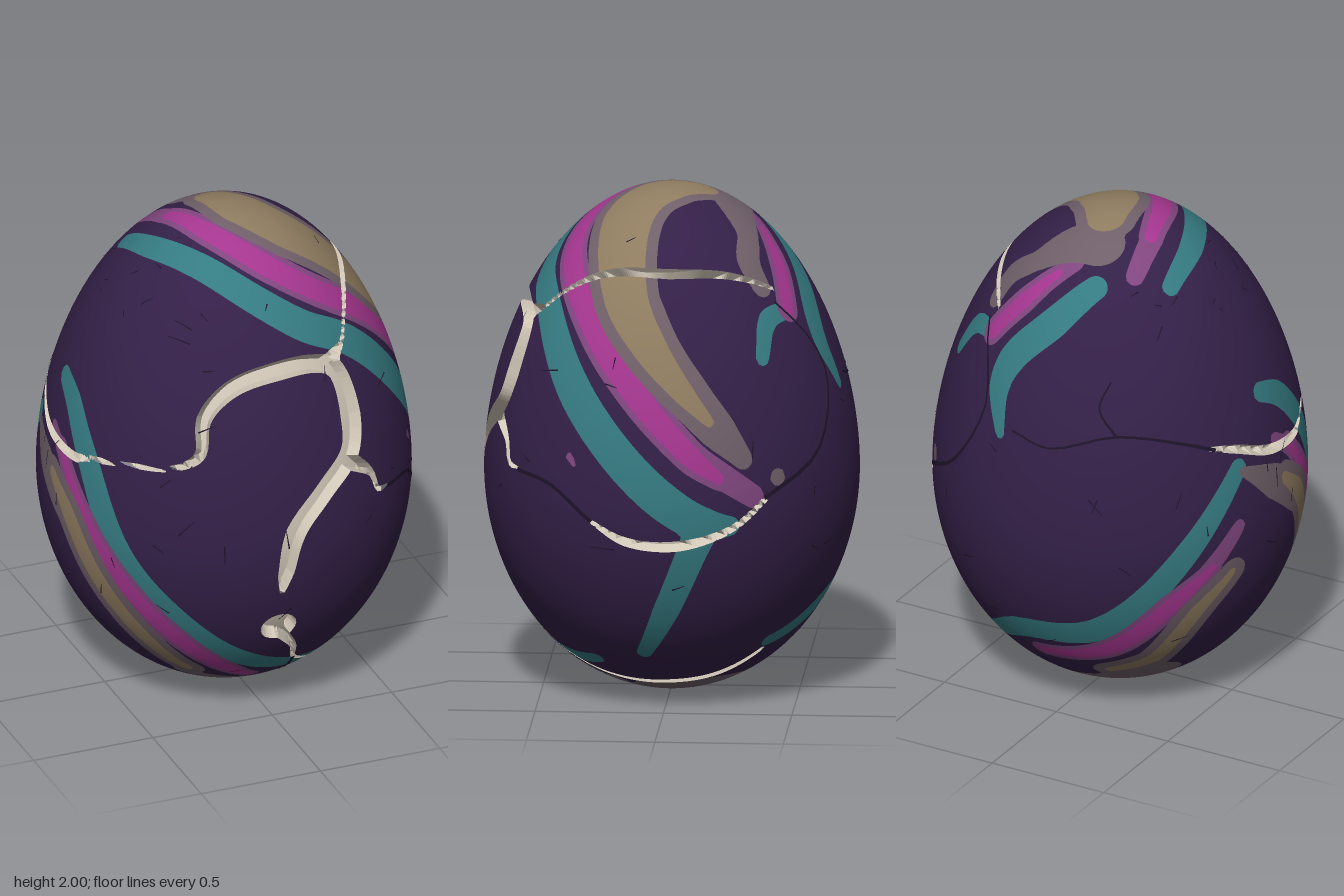
import * as THREE from 'three';

// Egg profile: radius at each height, widest at MID
const R = 0.73, MID = 0.88, UP = 1.12, DOWN = 0.88;
const half = (y) => (y > MID ? { H: UP, n: 1.85, s: 1 } : { H: DOWN, n: 2, s: -1 });
const radius = (y) => {
  const { H, n } = half(y);
  return R * Math.sqrt(Math.max(0, 1 - Math.min(1, Math.abs(y - MID) / H) ** n));
};
const normalAt = (p) => {
  const { H, n, s } = half(p.y);
  const t = Math.min(1, Math.abs(p.y - MID) / H);
  return new THREE.Vector3(p.x, (s * R * R * n * t ** (n - 1)) / (2 * H), p.z).normalize();
};
// Push a point onto the shell along the ray from the egg's middle
function project(p) {
  const { H, n } = half(p.y);
  const q = Math.hypot(p.x, p.z) / R, d = Math.abs(p.y - MID) / H;
  let lo = 0, hi = 4;
  for (let i = 0; i < 30; i++) {
    const s = (lo + hi) / 2;
    if ((q * s) ** 2 + (d * s) ** n > 1) hi = s; else lo = s;
  }
  return new THREE.Vector3(p.x * lo, MID + (p.y - MID) * lo, p.z * lo);
}

// Shell points [x, y, z, halfWidth] given from one side of the egg
const depth = (a, y) => Math.sqrt(Math.max(0, radius(y) ** 2 - a * a));
const F = (x, y, w) => [x, y, depth(x, y), w];
const B = (x, y, w) => [x, y, -depth(x, y), w];
const S = (z, y, w) => [depth(z, y), y, z, w];
const O = (z, y, w) => [-depth(z, y), y, z, w];
const cap = (x, z) => Math.max(0, 1 - (x * x + z * z) / (R * R));
const T = (x, z, w) => [x, MID + UP * cap(x, z) ** (1 / 1.85), z, w];
const U = (x, z, w) => [x, MID - DOWN * Math.sqrt(cap(x, z)), z, w];
const widen = (paths, by) => paths.map((t) => t.map(([x, y, z, w]) => [x, y, z, w + by]));

// Smooth path over the shell, sampled with its half widths
function trace(points, steps = 5) {
  if (points.length === 1) return [{ p: project(new THREE.Vector3(...points[0])), w: points[0][3] }];
  const curve = new THREE.CatmullRomCurve3(points.map((a) => new THREE.Vector3(a[0], a[1], a[2])), false, 'centripetal');
  const n = points.length - 1, out = [];
  for (let i = 0; i <= n * steps; i++) {
    const k = Math.min(n - 1, Math.floor(i / steps)), f = i / steps - k;
    out.push({ p: project(curve.getPoint(i / (n * steps))), w: points[k][3] * (1 - f) + points[k + 1][3] * f });
  }
  return out;
}
// Signed distance to the painted or carved area: negative inside
function area(paths) {
  const traces = paths.map((a) => trace(a));
  return (v) => {
    let best = 9;
    for (const t of traces) {
      for (let i = 0; i < Math.max(1, t.length - 1); i++) {
        const a = t[i], b = t[i + 1] || a;
        const dx = b.p.x - a.p.x, dy = b.p.y - a.p.y, dz = b.p.z - a.p.z;
        const ex = v.x - a.p.x, ey = v.y - a.p.y, ez = v.z - a.p.z;
        const f = Math.min(1, Math.max(0, (ex * dx + ey * dy + ez * dz) / (dx * dx + dy * dy + dz * dz + 1e-9)));
        const d = Math.hypot(ex - dx * f, ey - dy * f, ez - dz * f) - a.w - (b.w - a.w) * f;
        if (d < best) best = d;
      }
    }
    return best;
  };
}
// Cut triangles along the edge of an area
function split(tris, field) {
  const inside = [], outside = [];
  const fan = (poly, list) => {
    for (let i = 1; i + 1 < poly.length; i++) list.push([poly[0], poly[i], poly[i + 1]]);
  };
  const memo = new Map();
  const val = (p) => { if (!memo.has(p)) memo.set(p, field(p)); return memo.get(p); };
  for (const t of tris) {
    const f = t.map(val);
    if (f.every((d) => d < 0)) { inside.push(t); continue; }
    if (f.every((d) => d >= 0)) { outside.push(t); continue; }
    const a = [], b = [];
    for (let i = 0; i < 3; i++) {
      const j = (i + 1) % 3;
      (f[i] < 0 ? a : b).push(t[i]);
      if (f[i] < 0 !== f[j] < 0) {
        const m = t[i].clone().lerp(t[j], f[i] / (f[i] - f[j]));
        a.push(m); b.push(m);
      }
    }
    fan(a, inside); fan(b, outside);
  }
  return [inside, outside];
}

// Painted stripes
const teal = [
  [T(-.34, -.2, .035), T(-.31, .02, .05), T(-.19, .25, .055), T(-.035, .41, .06), T(.14, .48, .065), S(.46, 1.58, .065),
    S(.35, 1.31, .075), S(.17, 1.07, .075), S(-.02, .89, .075), S(-.17, .8, .07), S(-.27, .79, .04)],
  [S(-.17, .8, .07), S(-.12, .68, .06), S(-.02, .44, .052), S(.075, .24, .03)],
  [T(-.1, -.37, .05), T(.02, -.49, .065), T(.17, -.56, .065), B(.2, 1.42, .055), B(.16, 1.25, .022)],
  [T(.32, -.46, .035), S(-.4, 1.55, .042), S(-.385, 1.42, .03)],
  [O(-.04, 1.36, .04), O(.07, 1.31, .052), O(.17, 1.21, .056), O(.26, 1.09, .06), F(-.6, .78, .062), F(-.415, .52, .058),
    F(-.2, .33, .053), F(.01, .22, .05), F(.19, .175, .045), F(.36, .185, .03)],
  [F(-.35, .345, .018), F(-.26, .345, .022)],
  [O(-.24, 1.12, .04), O(-.46, .82, .055), B(-.24, .46, .065), B(.1, .39, .06), B(.33, .26, .035)],
];
const magenta = [
  [T(-.195, -.1, .025), T(-.11, .14, .042), T(.04, .31, .048), T(.24, .37, .048), S(.25, 1.5, .048), S(.06, 1.26, .048),
    S(-.13, 1.06, .04), S(-.23, .98, .022)],
  [T(.07, -.36, .018), T(.18, -.43, .036), T(.3, -.47, .034)],
  [O(.07, 1.11, .018), O(.24, .89, .038), F(-.56, .61, .04), F(-.385, .4, .04), F(-.18, .225, .03), F(-.05, .14, .012)],
  [O(-.36, .73, .018), O(-.47, .58, .04), B(-.25, .35, .04), B(.04, .28, .025)],
];
const mauveEnds = [
  [T(-.22, -.27, .035), T(-.2, -.1, .045)],
  [S(-.15, 1.05, .06), S(-.36, .9, .045)],
  [T(.01, -.32, .03), T(.12, -.4, .045)],
  [O(-.02, 1.16, .025), O(.1, 1.07, .04)],
  [O(-.26, .88, .03), O(-.4, .68, .045)],
  [S(.36, 1.05, .016), S(.34, 1.02, .012)],
];
const tan = [
  [T(0, -.11, .075), T(.07, .04, .115), T(.2, .15, .115), S(.15, 1.66, .088), S(.04, 1.47, .066), S(-.09, 1.31, .042), S(-.19, 1.2, .02)],
  [O(.02, .98, .025), O(.15, .86, .045), F(-.65, .64, .045), F(-.51, .41, .042), F(-.3, .2, .028)],
  [O(-.27, .68, .018), O(-.37, .52, .036), U(-.37, -.38, .036)],
  [U(-.2, -.42, .025), U(-.37, -.38, .036)],
  [U(.1, -.25, .02)],
];
const greyEnds = [
  [S(.13, 1.66, .105), S(.02, 1.47, .095), S(-.1, 1.31, .09), S(-.22, 1.17, .075), S(-.32, 1.05, .04)],
  [T(-.04, -.23, .1), T(.06, -.25, .09), T(.2, -.31, .05), T(.3, -.32, .055), S(-.37, 1.67, .045)],
  [S(-.45, .965, .035)],
  [O(-.22, 1.1, .02), O(-.06, 1.0, .07), O(.1, .88, .075)],
  [U(-.28, -.28, .14), U(-.1, -.2, .2), U(.08, -.08, .24), U(.2, 0, .14)],
  [U(-.28, .3, .05), U(-.1, .3, .06), U(.1, .28, .06), U(.18, .2, .06)],
];

// Carved cracks
const cracks = [
  [F(-.67, 1.13, .014), F(-.56, 1.17, .011), F(-.44, 1.19, .012), F(-.34, 1.25, .022), F(-.31, 1.39, .03), F(-.2, 1.5, .035),
    F(0, 1.55, .038), F(.165, 1.54, .036), F(.245, 1.5, .042), F(.29, 1.31, .055), F(.27, 1.18, .05), F(.14, 1.06, .045),
    F(.01, .915, .045), F(-.03, .73, .033), F(-.04, .645, .01)],
  [F(-.03, .465, .073)],
  [F(0, .41, .025), F(.06, .33, .014), F(.09, .24, .01), F(.2, .16, .01), S(.33, .14, .013), S(0, .085, .022),
    S(-.2, .12, .022), S(-.37, .22, .014)],
  [F(.23, 1.53, .035), F(.3, 1.57, .012), S(.42, 1.62, .01), S(.25, 1.72, .017), S(-.02, 1.74, .022), S(-.26, 1.72, .016), S(-.42, 1.65, .009)],
  [F(.28, 1.13, .035), F(.37, 1.05, .015), F(.4, .97, .012), S(.57, .955, .009)],
  [S(.27, .8, .009), S(.14, .73, .019), S(-.07, .715, .022), S(-.28, .78, .015), S(-.41, .89, .012)],
  [F(-.67, 1.13, .014), O(.17, 1.11, .02), O(-.05, 1.13, .022), O(-.24, 1.2, .018), O(-.34, 1.23, .01)],
];
const hairlines = [
  [O(-.32, 1.22, .008), O(-.42, 1.27, .006), B(-.316, 1.32, .005), B(-.07, 1.25, .004), B(.1, 1.28, .004)],
  [S(.57, .955, .008), S(.43, .925, .007), S(.27, .8, .008)],
  [S(-.4, .89, .009), S(-.6, 1.05, .007), B(.25, 1.33, .005), T(.34, -.42, .005)],
  [B(-.316, 1.32, .005), B(-.24, 1.42, .004), B(-.26, 1.52, .003)],
  [F(.09, .24, .008), F(.1, .12, .006), F(.12, .06, .004)],
];

// Thin strip lying on the shell
function ribbon(points, pos, nor) {
  const t = trace(points, 4);
  const sides = t.map(({ p, w }, i) => {
    const n = normalAt(p);
    const d = t[Math.min(i + 1, t.length - 1)].p.clone().sub(t[Math.max(i - 1, 0)].p);
    const s = d.cross(n).normalize().multiplyScalar(w);
    return [1, -1].map((k) => project(p.clone().addScaledVector(s, k)).addScaledVector(n, 0.003));
  });
  for (let i = 0; i + 1 < sides.length; i++) {
    const [a, b] = sides[i], [c, d] = sides[i + 1];
    for (const v of [a, c, b, b, c, d]) { pos.push(v.x, v.y, v.z); nor.push(...normalAt(v)); }
  }
}

function geometry(pos, nor) {
  const g = new THREE.BufferGeometry();
  g.setAttribute('position', new THREE.Float32BufferAttribute(pos, 3));
  if (nor) g.setAttribute('normal', new THREE.Float32BufferAttribute(nor, 3));
  else g.computeVertexNormals();
  return g;
}
const paint = (name, color, side = THREE.FrontSide) => {
  const m = new THREE.MeshStandardMaterial({ color, side });
  m.name = name;
  return m;
};

export function createModel() {
  const group = new THREE.Group();
  const add = (name, material, geo) => {
    const mesh = new THREE.Mesh(geo, material);
    mesh.name = name;
    group.add(mesh);
  };
  // Shell triangles
  const NA = 280, NB = 130, grid = [];
  for (let j = 0; j <= NB; j++) {
    const c = Math.cos((Math.PI * j) / NB), y = MID + c * (c > 0 ? UP : DOWN), r = radius(y);
    grid.push(Array.from({ length: NA }, (_, i) => {
      const a = (2 * Math.PI * i) / NA;
      return new THREE.Vector3(r * Math.sin(a), y, r * Math.cos(a));
    }));
  }
  let rest = [];
  for (let j = 0; j < NB; j++) for (let i = 0; i < NA; i++) {
    const k = (i + 1) % NA, a = grid[j][i], b = grid[j + 1][i], c = grid[j + 1][k], d = grid[j][k];
    if (j < NB - 1) rest.push([a, b, c]);
    if (j > 0) rest.push([a, c, d]);
  }
  // Cracks: steep faceted walls down to a smooth floor
  const crackField = area(cracks), cream = paint('cream', 0xd2c8b8), WALL = 0.014;
  let part;
  [part, rest] = split(rest, crackField);
  const [floor, walls] = split(part, (v) => crackField(v) + WALL);
  const sink = (v) => v.clone().addScaledVector(normalAt(v), -0.05 * Math.min(1, Math.max(0, -crackField(v) / WALL)));
  add('crackWalls', cream, geometry(walls.flat().flatMap((v) => [...sink(v)])));
  add('crackFloor', cream, geometry(floor.flat().flatMap((v) => [...sink(v)]), floor.flat().flatMap((v) => [...normalAt(v)])));
  // Paint, from the top coat down to the bare shell
  const layers = [
    ['tanStripes', paint('tan', 0x8f7c60), area(tan)],
    ['greyStripes', paint('warm grey', 0x6f5f68), area([...widen(tan, 0.045), ...greyEnds])],
    ['magentaStripes', paint('magenta', 0xa5368f), area(magenta)],
    ['mauveStripes', paint('mauve', 0x80467f), area([...widen(magenta, 0.024), ...mauveEnds])],
    ['tealStripes', paint('teal', 0x357b82), area(teal)],
    ['shell', paint('deep purple', 0x342048), () => -1],
  ];
  for (const [name, material, field] of layers) {
    [part, rest] = split(rest, field);
    const verts = part.flat();
    add(name, material, geometry(verts.flatMap((v) => [...v]), verts.flatMap((v) => [...normalAt(v)])));
  }
  // Hairline cracks and small scratches
  const pos = [], nor = [];
  hairlines.forEach((h) => ribbon(h, pos, nor));
  let seed = 7;
  const rand = () => (seed = (seed * 16807) % 2147483647) / 2147483647;
  for (let i = 0; i < 60; i++) {
    const a = rand() * 6.283, y = 0.15 + rand() * 1.75, l = 0.02 + rand() * 0.03, tilt = rand() * 6.283, r = radius(y);
    const end = (s) => [r * Math.sin(a + (s * l * Math.cos(tilt)) / r), y + s * l * Math.sin(tilt),
      r * Math.cos(a + (s * l * Math.cos(tilt)) / r), s > 0 ? 0.003 : 0.001];
    ribbon([end(-1), end(1)], pos, nor);
  }
  add('hairlines', paint('near black', 0x1e142a, THREE.DoubleSide), geometry(pos, nor));
  return group;
}
